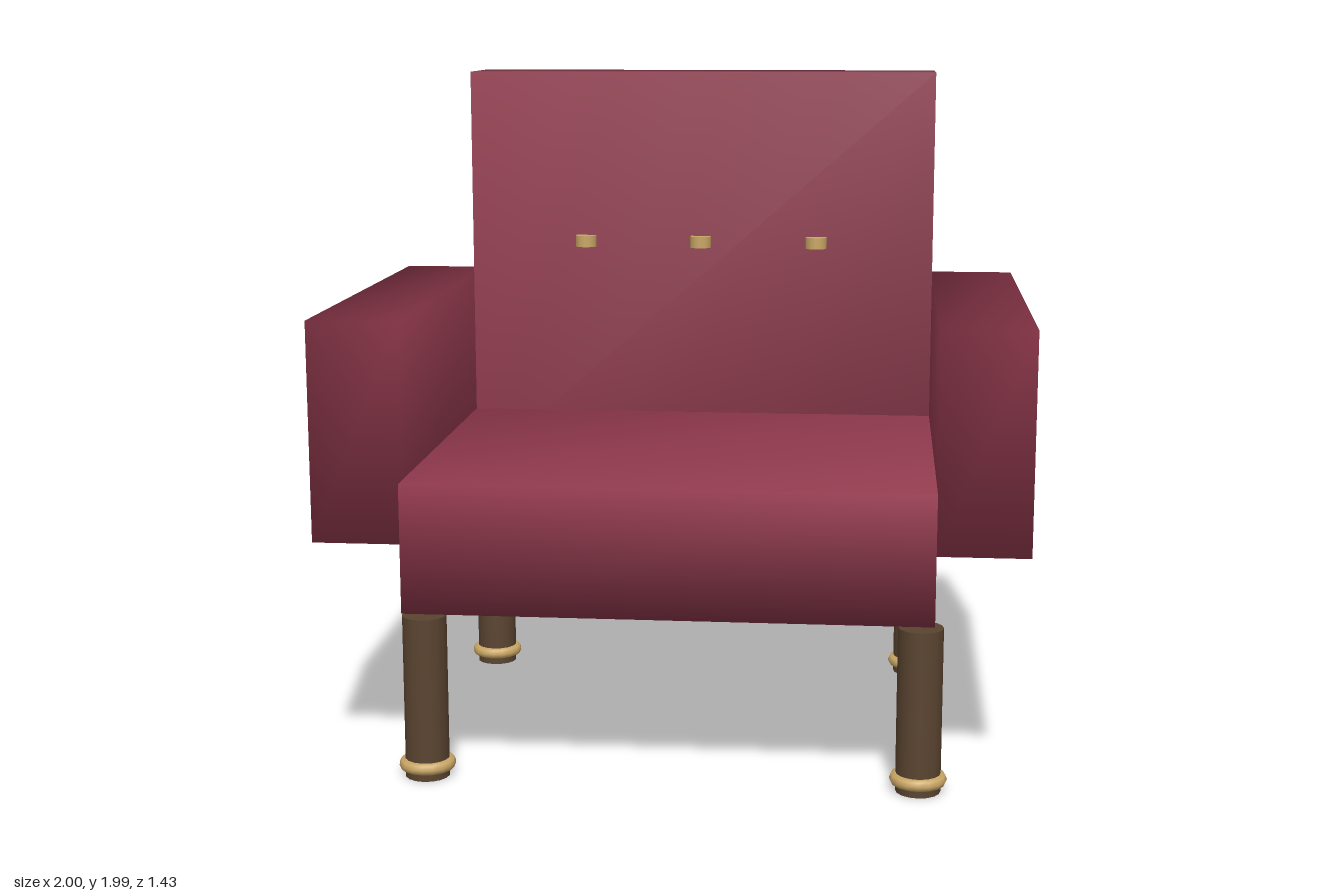
import * as THREE from 'three';
import { mergeVertices } from 'three/addons/utils/BufferGeometryUtils.js';

const fabric = new THREE.MeshStandardMaterial({ color: 0x8f384c });
const wood = new THREE.MeshStandardMaterial({ color: 0x5a4430 });
const brass = new THREE.MeshStandardMaterial({ color: 0xc9a665 });

// Upholstered block given by its extents, with normals shared across the corners
function cushion(name, [x0, x1], [y0, y1], [z0, z1]) {
  const box = new THREE.BoxGeometry(x1 - x0, y1 - y0, z1 - z0);
  box.deleteAttribute('normal');
  box.deleteAttribute('uv');
  const geometry = mergeVertices(box);
  geometry.computeVertexNormals();
  const mesh = new THREE.Mesh(geometry, fabric);
  mesh.name = name;
  mesh.position.set((x0 + x1) / 2, (y0 + y1) / 2, (z0 + z1) / 2);
  return mesh;
}

// Round leg with a brass ring near the floor
function leg(name, x, z) {
  const group = new THREE.Group();
  group.name = name;
  const post = new THREE.Mesh(new THREE.CylinderGeometry(0.064, 0.064, 0.48, 16), wood);
  post.name = 'post';
  post.position.y = 0.24;
  const ring = new THREE.Mesh(new THREE.TorusGeometry(0.064, 0.018, 8, 16), brass);
  ring.name = 'ring';
  ring.rotation.x = Math.PI / 2;
  ring.position.y = 0.037;
  group.add(post, ring);
  group.position.set(x, 0, z);
  return group;
}

export function createModel() {
  const chair = new THREE.Group();
  chair.name = 'armchair';

  // Seat, backrest and arms
  chair.add(
    cushion('seat', [-0.74, 0.74], [0.52, 0.89], [-0.67, 0.715]),
    cushion('backrest', [-0.74, 0.74], [0.69, 1.985], [-0.715, -0.425]),
    cushion('leftArm', [0.74, 1], [0.707, 1.335], [-0.625, 0.67]),
    cushion('rightArm', [-1, -0.74], [0.707, 1.335], [-0.625, 0.67])
  );

  // Four legs
  for (const [side, x] of [['Left', 0.705], ['Right', -0.705]]) {
    chair.add(leg('front' + side + 'Leg', x, 0.58), leg('back' + side + 'Leg', x, -0.532));
  }

  // Row of buttons on the backrest
  for (const x of [-0.37, 0, 0.37]) {
    const button = new THREE.Mesh(new THREE.CylinderGeometry(0.034, 0.034, 0.036, 12), brass);
    button.name = 'button';
    button.position.set(x, 1.448, -0.415);
    chair.add(button);
  }
  return chair;
}
